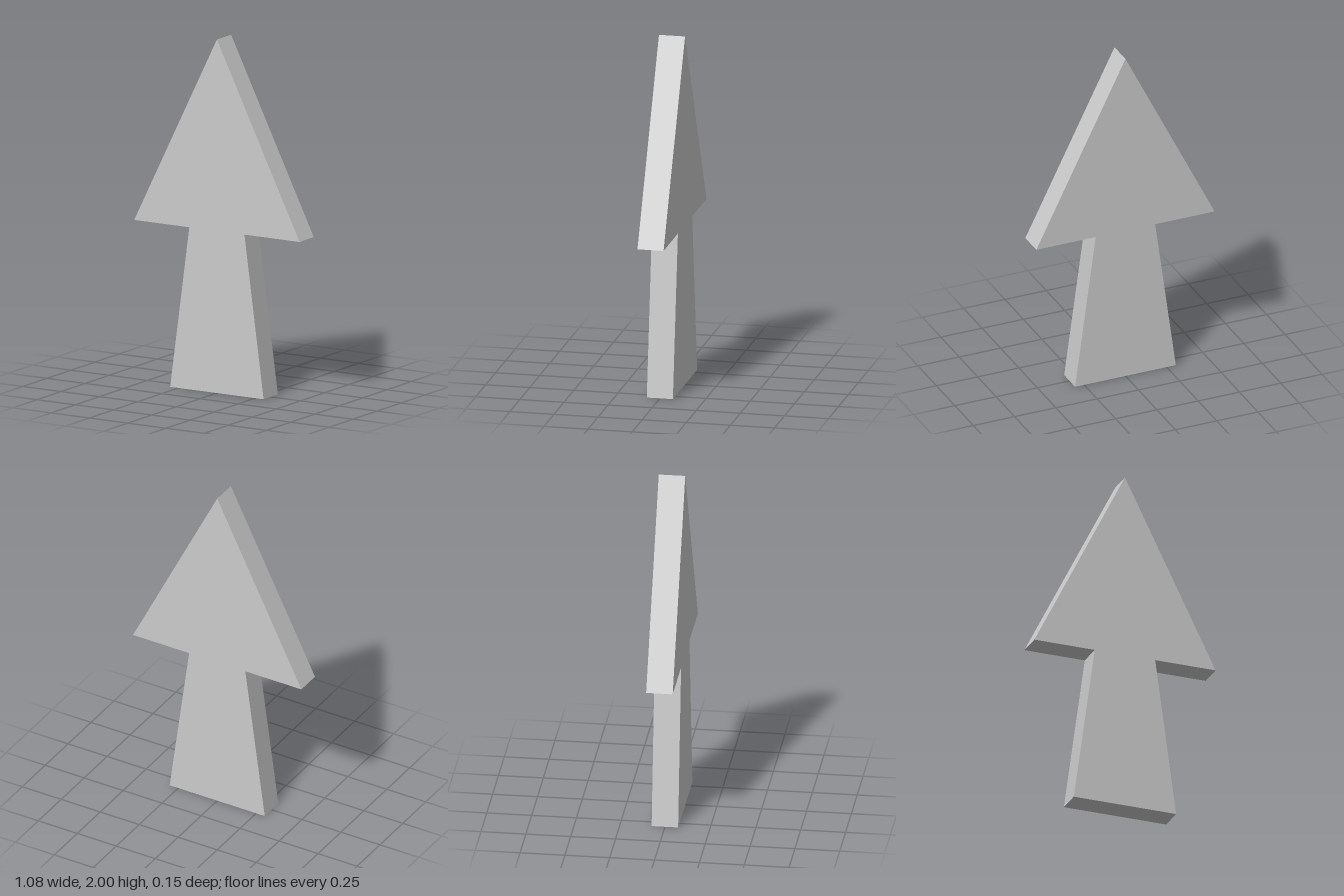
import * as THREE from 'three';

export function createModel() {
  const group = new THREE.Group();
  group.name = 'arrow';

  // Right half of the outline, from tip to foot: head corner, neck, flared shaft
  const half = [[0.54, 0.917], [0.18, 0.917], [0.305, 0]];
  const mirrored = half.map(([x, y]) => [-x, y]).reverse();
  const outline = [[0, 2], ...half, ...mirrored].map(([x, y]) => new THREE.Vector2(x, y));

  // Flat slab with sharp edges
  const depth = 0.148;
  const geometry = new THREE.ExtrudeGeometry(new THREE.Shape(outline), { depth, bevelEnabled: false });
  geometry.translate(0, 0, -depth / 2);

  const arrow = new THREE.Mesh(
    geometry,
    new THREE.MeshStandardMaterial({ color: 0xcccccc, flatShading: true })
  );
  arrow.name = 'arrowSlab';
  group.add(arrow);
  return group;
}
